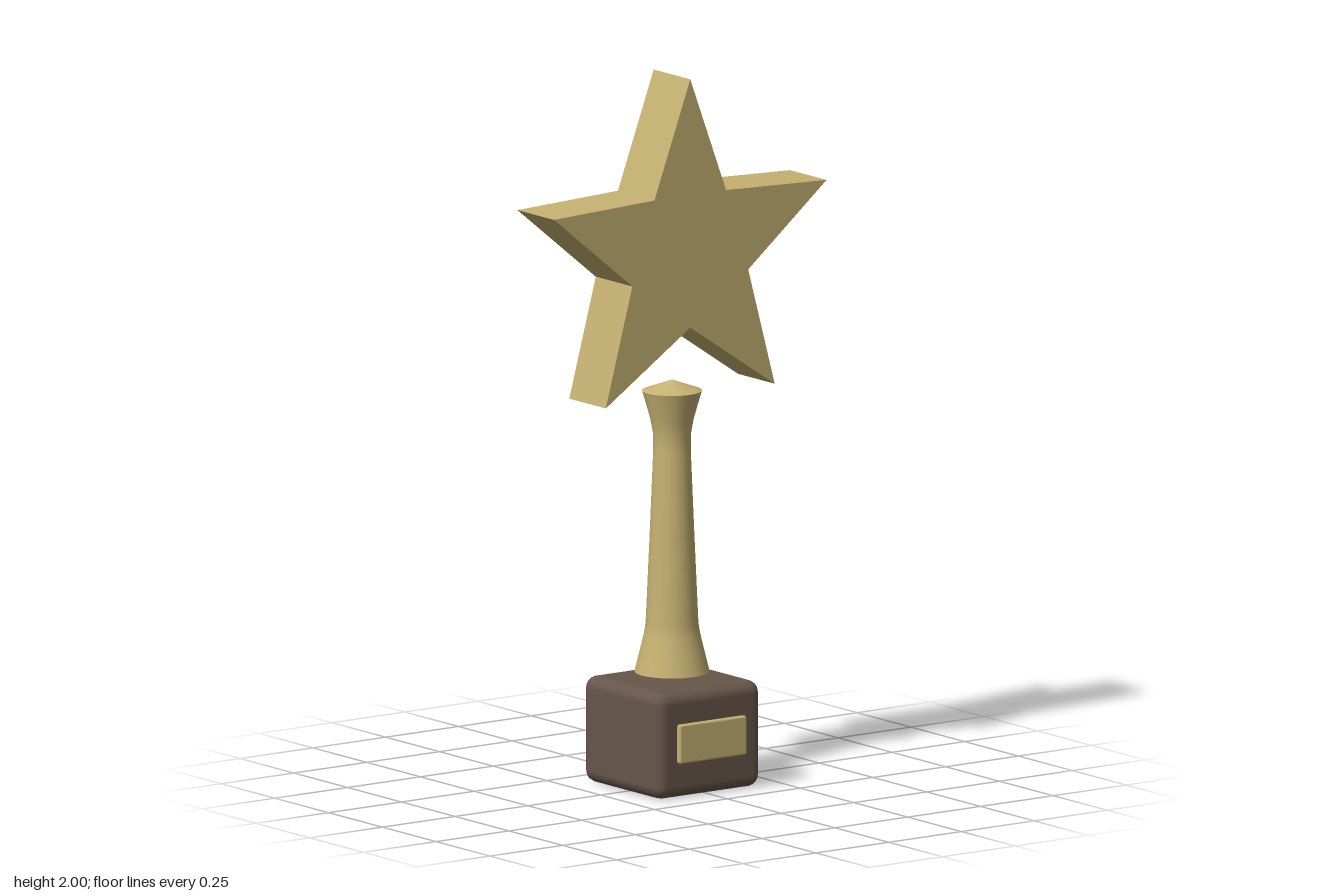
import * as THREE from 'three';
import { RoundedBoxGeometry } from 'three/addons/geometries/RoundedBoxGeometry.js';

export function createModel() {
  const gold = new THREE.MeshStandardMaterial({ color: 0xc6b272 });
  gold.name = 'gold';
  const wood = new THREE.MeshStandardMaterial({ color: 0x67564a });
  wood.name = 'darkWood';

  const model = new THREE.Group();
  model.name = 'starTrophy';
  const axis = -0.007; // the trophy axis, offset by the plaque on +x

  const add = (name, geometry, material, x, y, z) => {
    const mesh = new THREE.Mesh(geometry, material);
    mesh.name = name;
    mesh.position.set(x, y, z);
    model.add(mesh);
    return mesh;
  };

  // Rounded plinth with a raised plaque on its side
  add('base', new RoundedBoxGeometry(0.36, 0.3, 0.36, 2, 0.035), wood, axis, 0.15, 0);
  add('plaque', new RoundedBoxGeometry(0.04, 0.11, 0.23, 2, 0.006), gold, 0.167, 0.155, 0);

  // Turned stem, flared at both ends
  const lathe = (points) =>
    new THREE.LatheGeometry(points.map(([r, y]) => new THREE.Vector2(r, y)), 40);
  add('stem', lathe([
    [0.104, 0.318], [0.09, 0.375], [0.078, 0.425], [0.073, 0.455],
    [0.062, 0.7], [0.052, 0.94], [0.052, 0.985], [0.06, 1.03], [0.083, 1.11],
  ]), gold, axis, 0, 0);
  add('stemTop', lathe([[0.083, 1.11], [0, 1.14]]), gold, axis, 0, 0);
  add('stemBottom', lathe([[0, 0.318], [0.104, 0.318]]), gold, axis, 0, 0);

  // Thick five-pointed star, mirrored from one half outline
  const half = [[0.123, 1.673], [0.468, 1.66], [0.199, 1.44], [0.29, 1.107]];
  const outline = [
    [0, 2], ...half.map(([z, y]) => [-z, y]), [0, 1.3], ...half.slice().reverse(),
  ].map(([z, y]) => new THREE.Vector2(z, y));
  const starGeometry = new THREE.ExtrudeGeometry(new THREE.Shape(outline), {
    depth: 0.17, bevelEnabled: false,
  });
  starGeometry.translate(0, 0, -0.085);
  starGeometry.rotateY(Math.PI / 2);
  add('star', starGeometry, gold, axis, 0, 0);

  return model;
}
